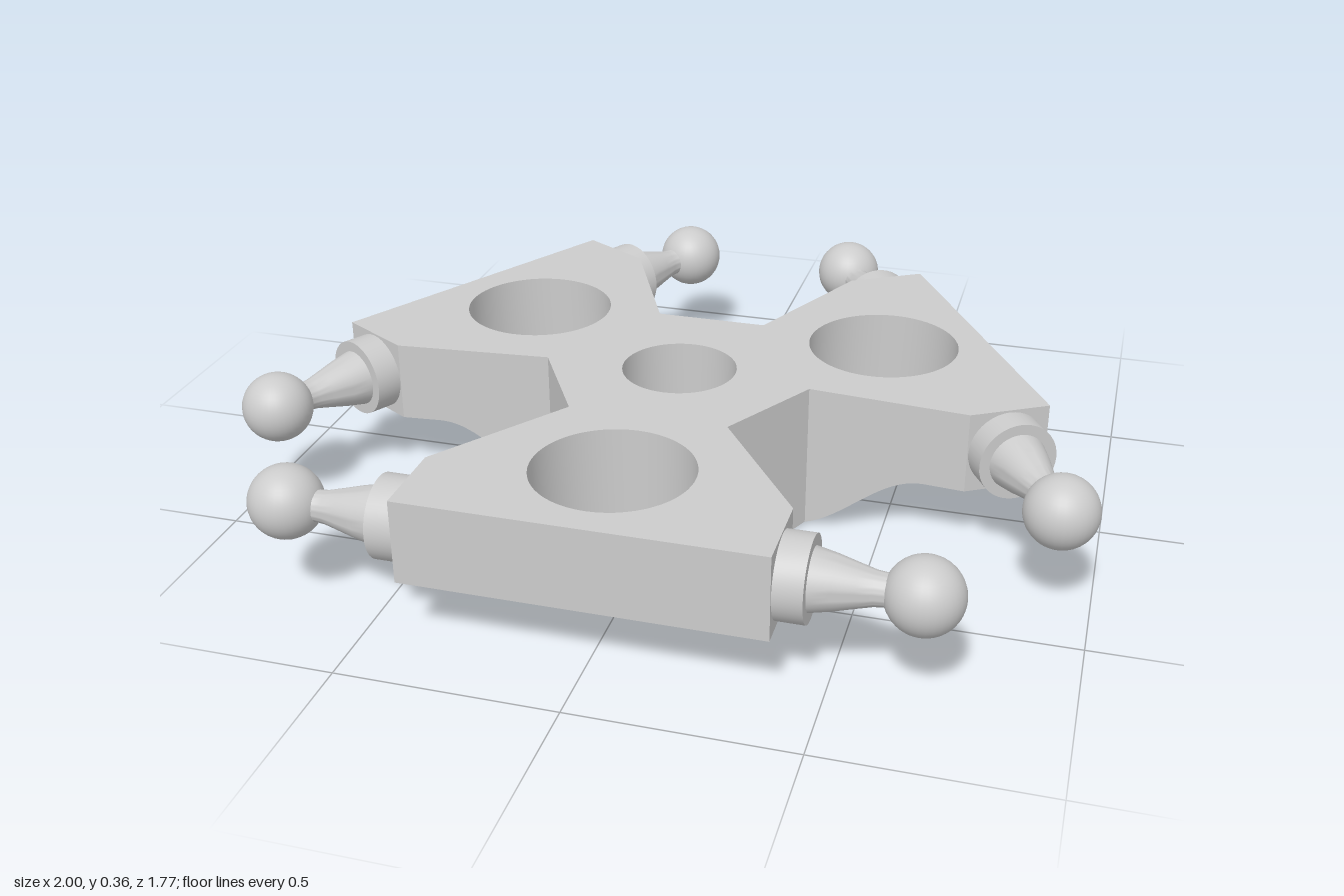
import * as THREE from 'three';
import { toCreasedNormals } from 'three/addons/utils/BufferGeometryUtils.js';

const TOP = 0.36, STEP = 0.165;           // top face, underside of the arm tips
const BORE = 0.135, HUB = 0.29;           // centre hole radius, hub flat distance
const HOLE_D = 0.51, HOLE_R = 0.18;       // arm hole distance and radius
const END = 0.76, HALF = 0.4;             // arm end distance and half width
const CENTRE_Z = 0.12, SPREAD = 0.614;    // hub position, half angle of the arm flanks
const NECK = HUB / Math.cos(Math.PI / 3 - SPREAD);
const CORNER = HALF / Math.sin(SPREAD), TIP = Math.hypot(END, HALF);
const ARM_ANGLES = [0, 2 * Math.PI / 3, -2 * Math.PI / 3];
const EPS = 1e-6;
const acos = v => Math.acos(Math.min(1, Math.max(-1, v)));

// Underside height: flat hub, S-curve, flat tip
function underside(r) {
  const t = Math.min(1, Math.max(0, (r - 0.28) / 0.32));
  return STEP * (1 - Math.cos(Math.PI * t)) / 2;
}

// Angle from the arm's centre line to the hole or the end face
function innerAngle(r) {
  if (Math.abs(r - HOLE_D) < HOLE_R) {
    return acos((r * r + HOLE_D ** 2 - HOLE_R ** 2) / (2 * r * HOLE_D));
  }
  return r > END ? acos(END / r) : 0;
}

// Angle from the arm's centre line to the outline
function outerAngle(r) {
  if (r <= HUB) return Math.PI / 3;
  if (r < NECK) return Math.PI / 3 - acos(HUB / r);
  return r < CORNER ? SPREAD : Math.asin(Math.min(1, HALF / r));
}

// Radii at which each wedge is sampled
function sampleRadii() {
  const list = [BORE, 0.21, 0.28, NECK, CORNER, 0.72];
  for (let i = 0; i <= 6; i++) list.push(HUB / Math.cos((Math.PI / 3 - SPREAD) * i / 6));
  for (let i = 0; i <= 32; i++) list.push(HOLE_D - HOLE_R * Math.cos(Math.PI * i / 32));
  for (let i = 0; i <= 8; i++) list.push(END / Math.cos(Math.atan(HALF / END) * i / 8));
  return list.sort((a, b) => a - b).filter((r, i, all) => i === 0 || r - all[i - 1] > EPS);
}

// Three-armed plate made of six mirrored wedges
function bodyGeometry() {
  const pos = [], radii = sampleRadii(), N = 10;
  for (const arm of ARM_ANGLES) for (const side of [1, -1]) {
    const point = (r, a, top) => new THREE.Vector3(
      r * Math.sin(arm + side * a), top ? TOP : underside(r), r * Math.cos(arm + side * a));
    const tri = (a, b, c) => {
      const area = b.clone().sub(a).cross(c.clone().sub(a)).length();
      if (area < 1e-9) return;
      for (const p of side > 0 ? [a, b, c] : [a, c, b]) pos.push(p.x, p.y, p.z);
    };
    const quad = (a, b, c, d) => { tri(a, b, c); tri(a, c, d); };
    const angle = (r, k) => THREE.MathUtils.lerp(innerAngle(r), outerAngle(r), k / N);

    for (let i = 0; i < radii.length - 1; i++) {
      const r0 = radii[i], r1 = radii[i + 1], mid = (r0 + r1) / 2;
      for (let k = 0; k < N; k++) {
        const corners = top => [point(r0, angle(r0, k), top), point(r0, angle(r0, k + 1), top),
          point(r1, angle(r1, k + 1), top), point(r1, angle(r1, k), top)];
        const low = corners(false), high = corners(true);
        quad(...low);
        quad(...high.reverse());
        // Centre hole wall
        if (i === 0) quad(high[3], high[2], low[1], low[0]);
      }
      const wall = a => [point(r0, a(r0), false), point(r1, a(r1), false),
        point(r1, a(r1), true), point(r0, a(r0), true)];
      // Arm hole wall and end face
      if (Math.abs(mid - HOLE_D) < HOLE_R || mid > END) quad(...wall(innerAngle));
      // Flank walls
      if (mid > HUB) quad(...wall(outerAngle).reverse());
    }
  }
  const geo = new THREE.BufferGeometry();
  geo.setAttribute('position', new THREE.Float32BufferAttribute(pos, 3));
  return toCreasedNormals(geo, 0.5);
}

export function createModel() {
  const model = new THREE.Group();
  model.name = 'threeArmedBallJointHub';
  const material = new THREE.MeshStandardMaterial({ color: 0xcccccc });

  const hub = new THREE.Group();
  hub.name = 'hub';
  hub.position.z = CENTRE_Z;
  model.add(hub);

  const body = new THREE.Mesh(bodyGeometry(), material);
  body.name = 'armPlate';
  hub.add(body);

  // Collar and tapered neck, turned to point along +x
  const profile = [[0.093, 0.385], [0.093, 0.463], [0.068, 0.463], [0.058, 0.51],
    [0.046, 0.555], [0.037, 0.59], [0.035, 0.61], [0.04, 0.635]];
  const stemGeo = toCreasedNormals(new THREE.LatheGeometry(
    profile.map(([r, y]) => new THREE.Vector2(r, y)), 40).rotateZ(-Math.PI / 2), 0.5);
  const ballGeo = new THREE.SphereGeometry(0.083, 32, 24);

  // A ball stud on each flank of each arm
  for (const angle of ARM_ANGLES) {
    const arm = new THREE.Group();
    arm.name = 'armStuds';
    arm.rotation.y = angle;
    for (const turn of [0, Math.PI]) {
      const stud = new THREE.Group();
      stud.name = turn ? 'rightStud' : 'leftStud';
      stud.position.set(0, 0.262, 0.663);
      stud.rotation.y = turn;
      const stem = new THREE.Mesh(stemGeo, material);
      stem.name = 'studNeck';
      const ball = new THREE.Mesh(ballGeo, material);
      ball.name = 'studBall';
      ball.position.x = 0.687;
      stud.add(stem, ball);
      arm.add(stud);
    }
    hub.add(arm);
  }
  return model;
}
